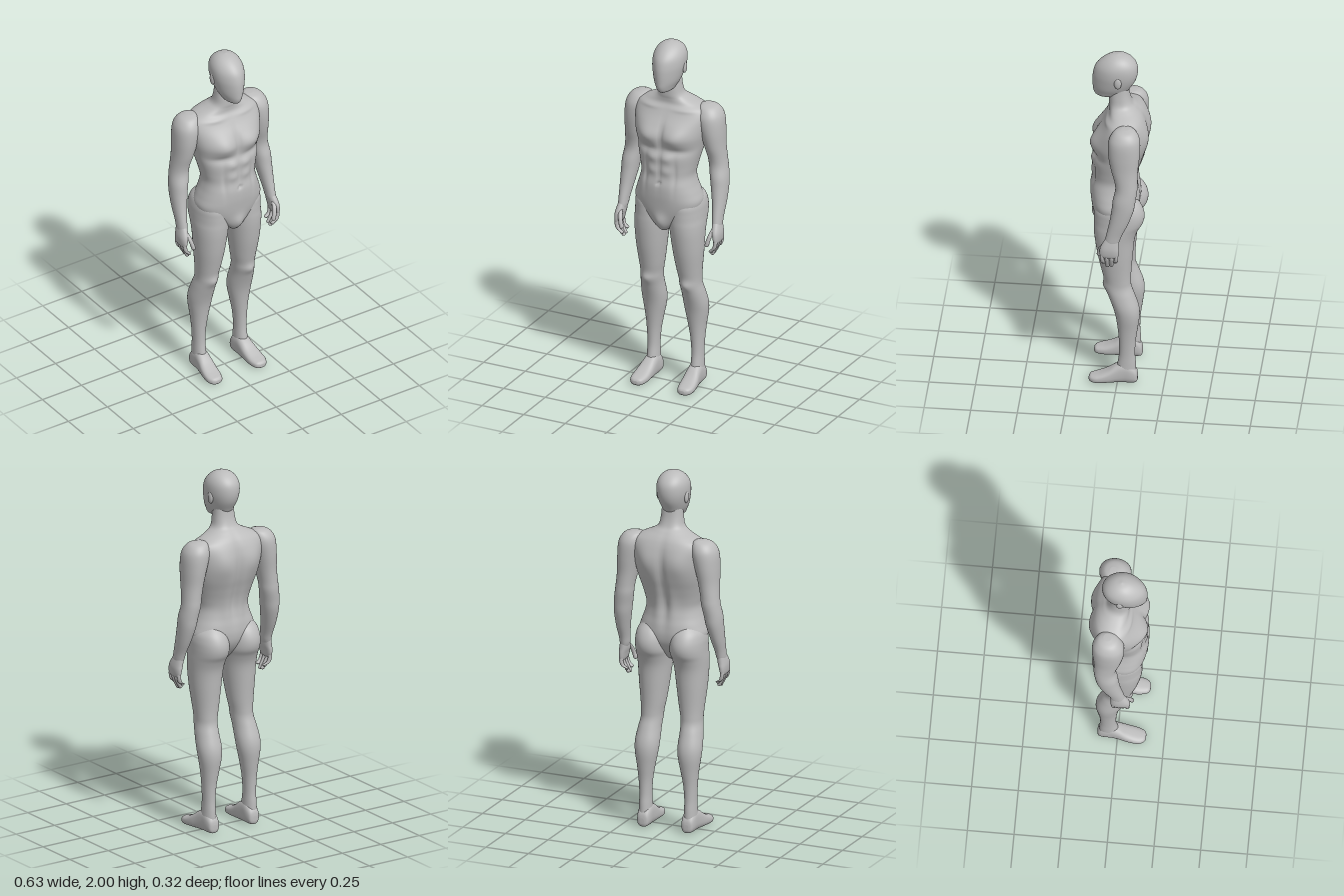
import * as THREE from 'three';

const skin = new THREE.MeshStandardMaterial({ color: 0xbcbcbc });
skin.name = 'matte grey';

const catmull = (a, b, c, d, t) =>
  b + 0.5 * t * (c - a + t * (2 * a - 5 * b + 4 * c - d + t * (3 * (b - c) + d - a)));

// Smooth skin over rows of [along, centreX, halfWidth, front, back].
// alongZ lays the loft down (front/back become top/bottom); side -1 mirrors it.
function loft(name, rows, { segs = 32, steps = 5, n = 2, taper = 0, side = 1, alongZ = false, bumps = [] } = {}) {
  const rings = [];
  const at = (i) => rows[Math.min(rows.length - 1, Math.max(0, i))];
  for (let i = 0; i < rows.length - 1; i++) {
    for (let k = 0; k < steps; k++) {
      rings.push(rows[i].map((_, c) => catmull(at(i - 1)[c], at(i)[c], at(i + 1)[c], at(i + 2)[c], k / steps)));
    }
  }
  rings.push(at(rows.length - 1));

  const pos = [], index = [];
  const put = (x, v, w) => (alongZ ? pos.push(side * x, w, v) : pos.push(side * x, v, w));
  const pow = (q) => Math.sign(q) * Math.abs(q) ** (2 / n);
  for (const [v, cx, rx, front, back] of rings) {
    for (let j = 0; j < segs; j++) {
      const a = (j / segs) * Math.PI * 2, s = Math.sin(a);
      const x = cx + rx * pow(Math.cos(a)) * (1 - taper * Math.max(0, s) ** 2);
      let w = (front + back) / 2 + ((front - back) / 2) * pow(s);
      // muscle relief: [x, y, widthX, widthY, height, facing]
      for (const [bx, by, sx, sy, h, face] of bumps) {
        if (s * face > 0) {
          w += face * h * Math.min(1, Math.abs(s) * 2) *
            Math.exp(-(((Math.abs(x) - bx) / sx) ** 2) - ((v - by) / sy) ** 2);
        }
      }
      put(x, v, w);
    }
  }
  const ends = [rings[0], rings[rings.length - 1]];
  for (const [v, cx, , f, b] of ends) put(cx, v, (f + b) / 2);

  const outward = side * Math.sign(ends[1][0] - ends[0][0]) * (alongZ ? -1 : 1) > 0;
  const tri = (a, b, c) => (outward ? index.push(a, c, b) : index.push(a, b, c));
  const last = (rings.length - 1) * segs, cap = rings.length * segs;
  for (let j = 0; j < segs; j++) {
    const k = (j + 1) % segs;
    for (let r = 0; r < last; r += segs) {
      tri(r + j, r + k, r + segs + j);
      tri(r + k, r + segs + k, r + segs + j);
    }
    tri(cap, k, j);
    tri(cap + 1, last + j, last + k);
  }
  const g = new THREE.BufferGeometry();
  g.setAttribute('position', new THREE.Float32BufferAttribute(pos, 3));
  g.setIndex(index);
  g.computeVertexNormals();
  const mesh = new THREE.Mesh(g, skin);
  mesh.name = name;
  return mesh;
}

// Pelvis, trunk and neck
const torsoRows = [
  [0.925, 0, 0.02, 0.1, 0.03], [0.95, 0, 0.05, 0.12, -0.02], [1.0, 0, 0.12, 0.135, -0.07],
  [1.05, 0, 0.172, 0.145, -0.1], [1.1, 0, 0.19, 0.152, -0.11], [1.15, 0, 0.177, 0.157, -0.107],
  [1.2, 0, 0.16, 0.157, -0.097], [1.25, 0, 0.15, 0.148, -0.092], [1.3, 0, 0.158, 0.145, -0.1],
  [1.36, 0, 0.172, 0.145, -0.12], [1.42, 0, 0.186, 0.135, -0.14], [1.48, 0, 0.2, 0.135, -0.15],
  [1.54, 0, 0.21, 0.118, -0.15], [1.59, 0, 0.215, 0.09, -0.142], [1.625, 0, 0.2, 0.07, -0.13],
  [1.65, 0, 0.155, 0.056, -0.115], [1.675, 0, 0.1, 0.055, -0.092], [1.7, 0, 0.07, 0.058, -0.068],
  [1.75, 0, 0.06, 0.057, -0.052], [1.82, 0, 0.055, 0.05, -0.045],
];
const torsoBumps = [
  [0.085, 1.485, 0.07, 0.055, 0.027, 1], // chest
  [0.09, 1.405, 0.07, 0.02, -0.01, 1], // fold under chest
  [0, 1.49, 0.014, 0.07, -0.01, 1], // breastbone
  [0.1, 1.625, 0.06, 0.012, 0.006, 1], // collarbone
  [0.04, 1.365, 0.03, 0.026, 0.009, 1], [0.04, 1.29, 0.03, 0.026, 0.008, 1], // stomach
  [0, 1.3, 0.009, 0.1, -0.006, 1], [0.085, 1.27, 0.012, 0.09, -0.007, 1],
  [0, 1.217, 0.01, 0.009, -0.012, 1], // navel
  [0, 0.985, 0.035, 0.045, 0.018, 1], // groin
  [0.095, 1.52, 0.065, 0.08, 0.016, -1], // shoulder blade
  [0, 1.4, 0.022, 0.19, -0.014, -1], // spine
  [0.045, 1.25, 0.03, 0.1, 0.008, -1], // lower back
];

const headRows = [
  [1.735, 0, 0.016, 0.115, 0.06], [1.746, 0, 0.04, 0.133, 0.0], [1.77, 0, 0.054, 0.144, -0.04],
  [1.8, 0, 0.068, 0.147, -0.06], [1.84, 0, 0.079, 0.148, -0.083], [1.88, 0, 0.086, 0.145, -0.094],
  [1.92, 0, 0.086, 0.134, -0.094], [1.95, 0, 0.078, 0.113, -0.083], [1.975, 0, 0.061, 0.083, -0.06],
  [1.992, 0, 0.036, 0.05, -0.03], [2.0, 0, 0.003, 0.013, 0.007],
];

const legRows = [
  [1.16, 0.1, 0.04, 0.06, -0.07], [1.12, 0.1, 0.08, 0.11, -0.112], [1.08, 0.101, 0.092, 0.128, -0.134],
  [1.04, 0.101, 0.095, 0.13, -0.141], [1.0, 0.101, 0.096, 0.13, -0.133], [0.96, 0.104, 0.094, 0.13, -0.11],
  [0.9, 0.107, 0.089, 0.125, -0.09], [0.8, 0.11, 0.08, 0.11, -0.08], [0.7, 0.112, 0.068, 0.088, -0.072],
  [0.64, 0.115, 0.06, 0.074, -0.07], [0.6, 0.117, 0.058, 0.07, -0.073], [0.55, 0.122, 0.061, 0.053, -0.09],
  [0.48, 0.125, 0.066, 0.028, -0.113], [0.42, 0.126, 0.062, 0.012, -0.118], [0.34, 0.128, 0.048, 0, -0.108],
  [0.26, 0.131, 0.037, -0.007, -0.097], [0.18, 0.132, 0.032, -0.008, -0.094], [0.12, 0.132, 0.033, 0, -0.098],
  [0.06, 0.132, 0.034, 0.01, -0.098], [0.03, 0.132, 0.025, 0, -0.085],
];

// Heel to toe, top and sole heights
const footRows = [
  [-0.108, 0.13, 0.012, 0.05, 0.02], [-0.1, 0.13, 0.03, 0.08, 0.004], [-0.07, 0.13, 0.038, 0.115, 0],
  [-0.03, 0.131, 0.039, 0.125, 0], [0.01, 0.133, 0.042, 0.106, 0], [0.05, 0.137, 0.046, 0.078, 0],
  [0.09, 0.14, 0.047, 0.058, 0], [0.12, 0.142, 0.043, 0.048, 0], [0.143, 0.141, 0.032, 0.041, 0.003],
  [0.153, 0.141, 0.014, 0.03, 0.01],
];

const armRows = [
  [1.652, 0.19, 0.02, -0.03, -0.07], [1.64, 0.2, 0.05, 0.005, -0.1], [1.61, 0.21, 0.066, 0.03, -0.122],
  [1.57, 0.217, 0.071, 0.042, -0.13], [1.5, 0.228, 0.064, 0.04, -0.128], [1.42, 0.238, 0.055, 0.025, -0.12],
  [1.35, 0.248, 0.05, 0.005, -0.118], [1.3, 0.254, 0.05, 0, -0.118], [1.24, 0.264, 0.049, 0.012, -0.11],
  [1.18, 0.27, 0.045, 0.018, -0.1], [1.1, 0.277, 0.036, 0.03, -0.072], [1.03, 0.281, 0.028, 0.045, -0.04],
  [0.99, 0.283, 0.025, 0.053, -0.026], [0.965, 0.286, 0.02, 0.058, -0.018],
];
const palmRows = [
  [1.01, 0.282, 0.02, 0.045, -0.025], [0.96, 0.289, 0.024, 0.073, -0.024], [0.93, 0.294, 0.021, 0.08, -0.025],
  [0.9, 0.296, 0.015, 0.077, -0.02], [0.885, 0.295, 0.006, 0.06, -0.005],
];

// Round-tipped digit through points [x, y, z]
function digit(name, points, r, side) {
  const rows = points.map(([x, y, z]) => [y, x, r, z + r, z - r]);
  const [x, y, z] = points[points.length - 1];
  const tip = (d, k) => rows.push([y - d * r, x, r * k, z + r * k, z - r * k]);
  tip(0.6, 0.75);
  tip(0.95, 0.2);
  return loft(name, rows, { segs: 12, steps: 4, side });
}

function hand(side) {
  const group = new THREE.Group();
  group.name = side > 0 ? 'leftHand' : 'rightHand';
  group.add(loft('palm', palmRows, { side, n: 2.3 }));
  [0.842, 0.822, 0.826, 0.848].forEach((tipY, i) => {
    const z = 0.066 - 0.025 * i;
    const points = [[0.296, 0.915, z], [0.296, 0.885, z], [0.287, 0.86, z * 0.95 + 0.003], [0.268, tipY, z * 0.85 + 0.006]];
    group.add(digit('finger' + (i + 1), points, 0.0112, side));
  });
  group.add(digit('thumb', [[0.28, 0.97, 0.05], [0.271, 0.94, 0.073], [0.263, 0.91, 0.084], [0.257, 0.885, 0.087]], 0.012, side));
  return group;
}

export function createModel() {
  const model = new THREE.Group();
  model.name = 'mannequin';
  model.add(loft('torso', torsoRows, { segs: 112, steps: 6, n: 2.3, bumps: torsoBumps }));
  model.add(loft('head', headRows, { segs: 48, taper: 0.2, n: 2.1 }));

  for (const side of [1, -1]) {
    const label = side > 0 ? 'left' : 'right';
    const kneecap = [[0.118, 0.605, 0.03, 0.03, 0.01, 1]];
    model.add(loft(label + 'Leg', legRows, { segs: 48, side, n: 2.1, bumps: kneecap }));
    model.add(loft(label + 'Foot', footRows, { side, n: 2.6, alongZ: true }));
    model.add(loft(label + 'Arm', armRows, { segs: 40, side, n: 2.1 }));
    model.add(hand(side));

    const ear = new THREE.Mesh(new THREE.SphereGeometry(1, 20, 14), skin);
    ear.name = label + 'Ear';
    ear.scale.set(0.011, 0.034, 0.02);
    ear.position.set(side * 0.081, 1.86, 0.005);
    model.add(ear);
  }
  return model;
}
